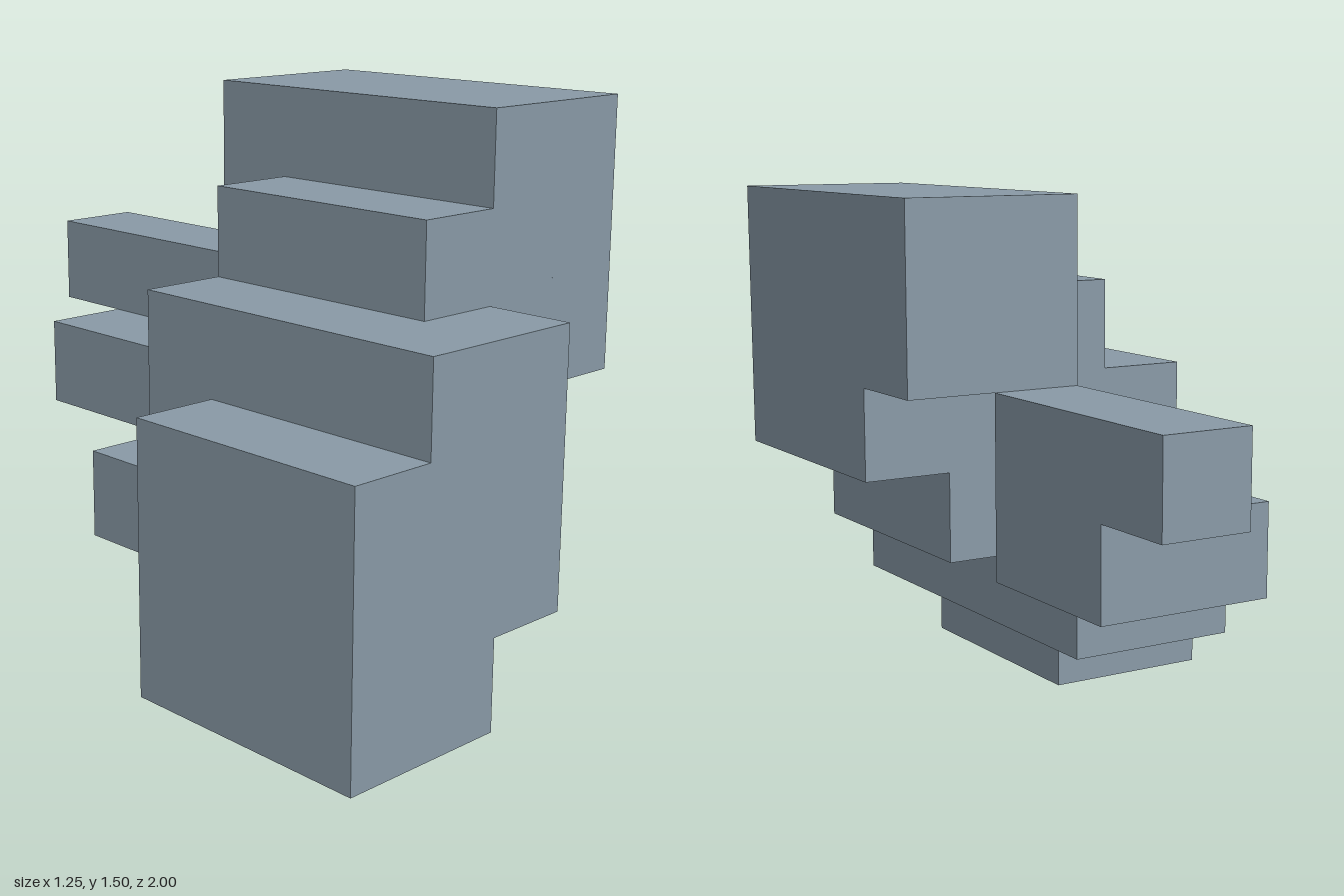
import * as THREE from 'three';

const WIDTH = 0.25; // thickness of every vertical slice along x

// Side profiles as [z, y] corners, with the x where each slice starts
const SLICES = [
  { name: 'outerRightSlab', x: -0.625, profile: [[1, 0], [1, 0.75], [0.25, 0.75], [0.25, 0]] },
  {
    name: 'innerRightSlab', x: -0.375,
    profile: [[1, 0], [1, 1], [0, 1], [0, 0.5], [-0.25, 0.5], [-0.25, 0.25], [0.25, 0.25], [0.25, 0]],
  },
  {
    name: 'middleSlab', x: -0.125,
    profile: [[1, 0.25], [1, 1], [0.75, 1], [0.75, 1.25], [0, 1.25], [0, 0.75],
      [-0.75, 0.75], [-0.75, 0.5], [-0.25, 0.5], [-0.25, 0.25]],
  },
  {
    name: 'innerLeftSlab', x: 0.125,
    profile: [[0.75, 0.5], [0.75, 1.5], [-0.25, 1.5], [-0.25, 1], [0, 1], [0, 0.5]],
  },
  {
    name: 'rearArm', x: 0.125,
    profile: [[-0.25, 0.5], [-0.25, 1], [-1, 1], [-1, 0.75], [-0.75, 0.75], [-0.75, 0.5]],
  },
  {
    name: 'outerLeftSlab', x: 0.375,
    profile: [[0.75, 0.75], [0.75, 1.5], [-0.25, 1.5], [-0.25, 1], [0, 1], [0, 0.75]],
  },
];

export function createModel() {
  const model = new THREE.Group();
  model.name = 'steppedBlocks';
  const material = new THREE.MeshStandardMaterial({ color: 0x8a9ba8 });
  material.name = 'blueGrey';

  for (const { name, x, profile } of SLICES) {
    // Draw the profile with z mirrored, then turn the extrusion to run along +x
    const shape = new THREE.Shape(profile.map(([z, y]) => new THREE.Vector2(-z, y)));
    const geometry = new THREE.ExtrudeGeometry(shape, { depth: WIDTH, bevelEnabled: false });
    geometry.rotateY(Math.PI / 2);
    const mesh = new THREE.Mesh(geometry, material);
    mesh.name = name;
    mesh.position.x = x;
    model.add(mesh);
  }
  return model;
}
